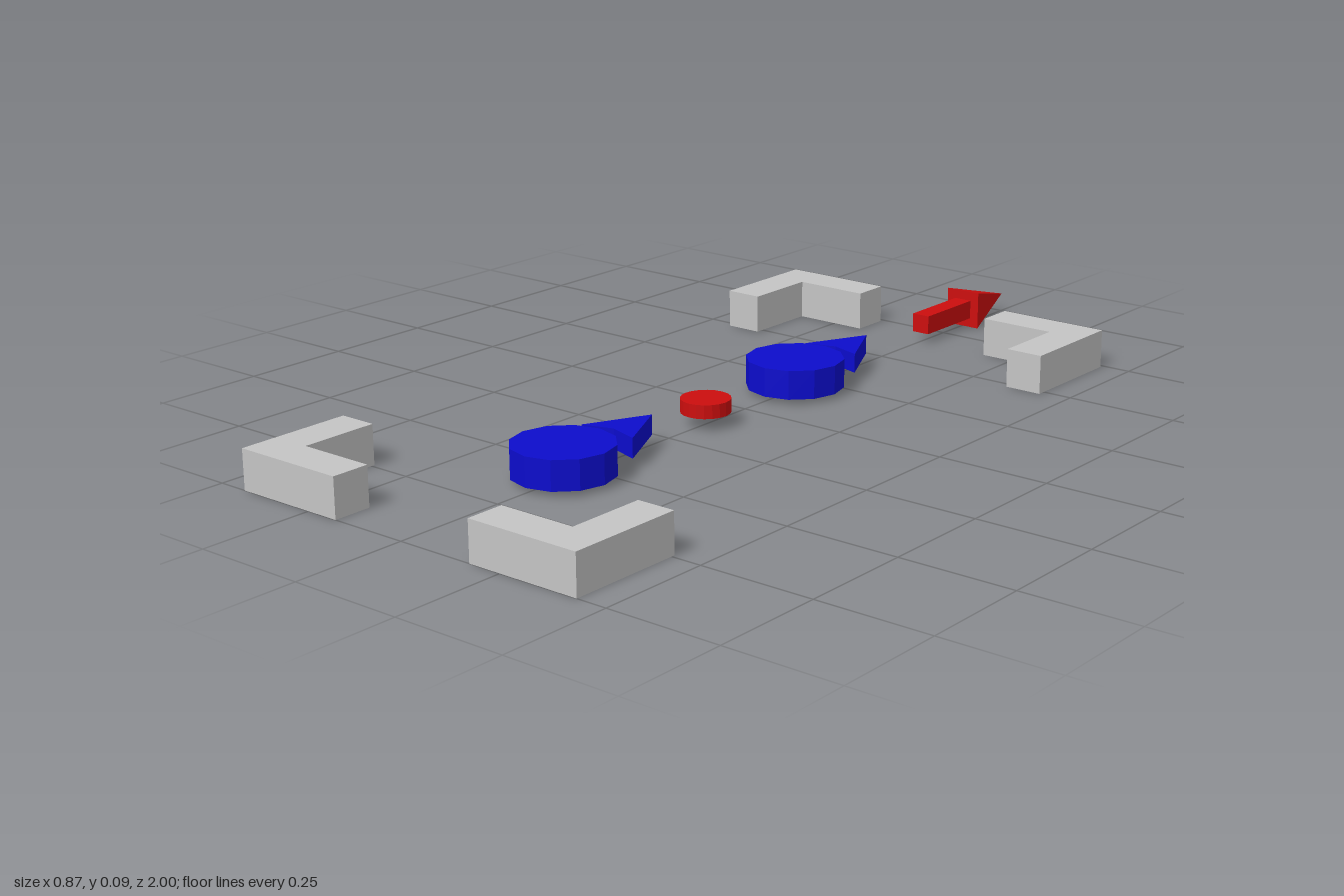
import * as THREE from 'three';

const HEIGHT = 0.086;
const MID = HEIGHT / 2;

// Upright prism from plan points [x, z], centred vertically on the mid plane
function prism(points, height) {
  const shape = new THREE.Shape(points.map(([x, z]) => new THREE.Vector2(x, -z)));
  const geometry = new THREE.ExtrudeGeometry(shape, { depth: height, bevelEnabled: false });
  geometry.rotateX(-Math.PI / 2);
  geometry.translate(0, MID - height / 2, 0);
  return geometry;
}

export function createModel() {
  const material = (name, color, flatShading = true) => {
    const m = new THREE.MeshStandardMaterial({ color, flatShading });
    m.name = name;
    return m;
  };
  const grey = material('light grey', 0xc4c4c4);
  const blue = material('blue', 0x0c0ccc);
  const red = material('red', 0xcc0e0e);

  const model = new THREE.Group();
  model.name = 'markerSet';
  const add = (name, geometry, mat, y = 0, z = 0, parent = model) => {
    const mesh = new THREE.Mesh(geometry, mat);
    mesh.name = name;
    mesh.position.set(0, y, z);
    parent.add(mesh);
    return mesh;
  };

  // Four L-shaped corner brackets, arms pointing inward
  const arm = 0.258, thick = 0.085, outerX = 0.433;
  for (const [end, outerZ, sz] of [['front', 1, 1], ['back', -0.74, -1]]) {
    for (const [side, sx] of [['Left', 1], ['Right', -1]]) {
      const plan = [[0, 0], [arm, 0], [arm, thick], [thick, thick], [thick, arm], [0, arm]]
        .map(([a, b]) => [sx * (outerX - a), outerZ - sz * b]);
      add(`${end}${side}Bracket`, prism(plan, HEIGHT), grey);
    }
  }

  // Two blue discs, each with a notched pointer behind it
  for (const [end, z] of [['front', 0.566], ['back', -0.174]]) {
    const marker = new THREE.Group();
    marker.name = `${end}Marker`;
    marker.position.z = z;
    model.add(marker);
    add('disc', new THREE.CylinderGeometry(0.108, 0.108, 0.064, 12), blue, MID, 0, marker);
    const plan = [[0, -0.264], [0.068, -0.127], [0, -0.148], [-0.068, -0.127]];
    add('pointer', prism(plan, 0.043), blue, 0, 0, marker);
  }

  // Small red disc in the middle
  add('centreDisc', new THREE.CylinderGeometry(0.054, 0.054, 0.03, 20), red, MID, 0.131);

  // Red direction arrow: square shaft and square pyramid head
  const arrow = new THREE.Group();
  arrow.name = 'directionArrow';
  model.add(arrow);
  add('arrowShaft', new THREE.BoxGeometry(0.043, 0.043, 0.176), red, MID, -0.742, arrow);
  const head = new THREE.ConeGeometry(0.043 * Math.SQRT2, 0.17, 4);
  head.rotateY(Math.PI / 4);
  head.rotateX(-Math.PI / 2);
  add('arrowHead', head, red, MID, -0.915, arrow);

  return model;
}
